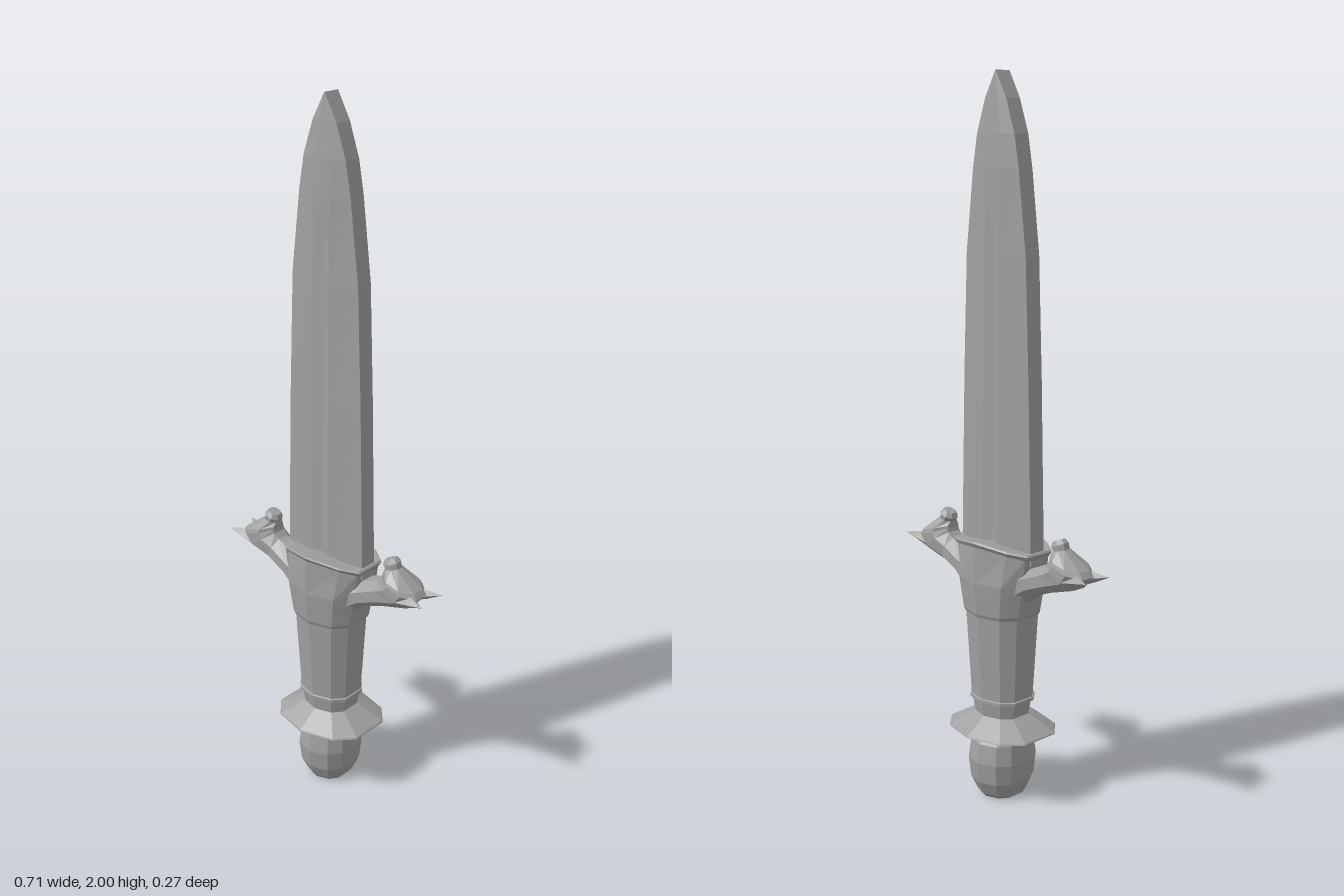
import * as THREE from 'three';

const material = new THREE.MeshStandardMaterial({ color: 0xa0a0a0, flatShading: true });

// Skins a list of closed rings (counter-clockwise seen from the end) and caps both ends
function loft(name, rings) {
  const pos = [];
  const tri = (a, b, c) => pos.push(...a, ...b, ...c);
  const n = rings[0].length;
  for (let i = 0; i < rings.length - 1; i++) {
    for (let j = 0; j < n; j++) {
      const k = (j + 1) % n;
      const [a, b, c, d] = [rings[i][j], rings[i][k], rings[i + 1][k], rings[i + 1][j]];
      tri(a, b, c);
      tri(a, c, d);
    }
  }
  const first = rings[0], last = rings[rings.length - 1];
  const middle = (r) => [0, 1, 2].map((q) => r.reduce((s, p) => s + p[q], 0) / n);
  const m0 = middle(first), m1 = middle(last);
  for (let j = 0; j < n; j++) {
    const k = (j + 1) % n;
    tri(m0, first[k], first[j]);
    tri(m1, last[j], last[k]);
  }
  const geometry = new THREE.BufferGeometry();
  geometry.setAttribute('position', new THREE.Float32BufferAttribute(pos, 3));
  geometry.computeVertexNormals();
  const mesh = new THREE.Mesh(geometry, material);
  mesh.name = name;
  return mesh;
}

// Ten-sided horizontal ring, flat at the sides and pointed at front and back:
// half width w, half depth d, depth of the shoulders, rise of the front and back points
function hiltRing([y, w, d, shoulder = 0.8, rise = 0]) {
  const half = [[1, 0.42], [0.68, shoulder], [0, 1], [-0.68, shoulder], [-1, 0.42]];
  const back = half.map(([x, z]) => [x, -z]);
  return [...back, ...half.reverse()].map(([x, z]) =>
    [x * w, y + rise * (1 - Math.abs(x)), z * d]);
}

// Double-edged blade section: blunt edges, raised shoulders, shallow centre groove
function bladeRing([y, w, shoulder, centre]) {
  const e = 0.025, g = Math.min(0.03, w * 0.4);
  return [[w, e], [w, -e], [g, -shoulder], [0, -centre], [-g, -shoulder],
    [-w, -e], [-w, e], [-g, shoulder], [0, centre], [g, shoulder]].map(([x, z]) => [x, y, z]);
}

// Guard arm section between a lower/outer point and an upper/inner point
function armRing([px, py, qx, qy, hz]) {
  return Array.from({ length: 8 }, (_, i) => {
    const t = ((i + 0.5) * Math.PI) / 4, k = 1 / Math.cos(Math.PI / 8);
    const c = (Math.cos(t) * k) / 2;
    return [(px + qx) / 2 + (qx - px) * c, (py + qy) / 2 + (qy - py) * c, hz * k * Math.sin(t)];
  });
}

function createArm(name) {
  const arm = new THREE.Group();
  arm.name = name;
  // Arm sweeping out, swelling into a head and curling back into a small tilted knob
  arm.add(loft('armAndHorn', [
    [0.08, 0.565, 0.08, 0.69, 0.062],
    [0.14, 0.618, 0.13, 0.692, 0.053],
    [0.21, 0.643, 0.185, 0.714, 0.044],
    [0.29, 0.667, 0.2, 0.728, 0.05],
    [0.322, 0.702, 0.203, 0.738, 0.05],
    [0.31, 0.718, 0.203, 0.746, 0.047],
    [0.246, 0.766, 0.204, 0.758, 0.023],
    [0.242, 0.783, 0.196, 0.766, 0.024],
    [0.232, 0.793, 0.2, 0.781, 0.016],
  ].map(armRing)));
  // Pair of pointed spikes on the outer end
  for (const s of [1, -1]) {
    const ring = (x, y, z, ry, rz) => [[0, 1], [-1, 0], [0, -1], [1, 0]]
      .map(([a, b]) => [x, y - a * ry, z - b * rz]);
    arm.add(loft('spike', [
      ring(0.27, 0.69, s * 0.026, 0.024, 0.024),
      ring(0.315, 0.698, s * 0.032, 0.014, 0.018),
      ring(0.355, 0.704, s * 0.045, 0.0005, 0.0005),
    ]));
  }
  return arm;
}

export function createModel() {
  const model = new THREE.Group();
  model.name = 'dagger';

  // Blade
  model.add(loft('blade', [
    [0.7, 0.136, 0.045, 0.039], [1.2, 0.124, 0.044, 0.039], [1.53, 0.112, 0.043, 0.039],
    [1.75, 0.086, 0.041, 0.041], [1.84, 0.07, 0.038, 0.039], [1.93, 0.039, 0.031, 0.032],
    [2, 0.0005, 0.025, 0.025],
  ].map(bladeRing)));

  // Collar under the blade, rising to a point at front and back
  model.add(loft('collar', [
    [0.715, 0.136, 0.1, 0.7, 0.02], [0.73, 0.144, 0.112, 0.7, 0.024],
    [0.735, 0.14, 0.109, 0.7, 0.024],
  ].map(hiltRing)));

  // Guard body flaring up from the grip
  model.add(loft('guardBody', [
    [0.54, 0.099, 0.096], [0.55, 0.105, 0.1], [0.59, 0.112, 0.104],
    [0.64, 0.122, 0.108], [0.722, 0.135, 0.106, 0.72, 0.02],
  ].map(hiltRing)));

  // Grip with a raised band near its foot
  model.add(loft('grip', [
    [0.23, 0.072, 0.07], [0.285, 0.08, 0.078], [0.287, 0.088, 0.085],
    [0.296, 0.088, 0.085], [0.298, 0.084, 0.081], [0.545, 0.098, 0.095],
  ].map(hiltRing)));

  // Disc between grip and pommel
  model.add(loft('disc', [
    [0.195, 0.06, 0.06], [0.198, 0.15, 0.137], [0.202, 0.148, 0.135], [0.245, 0.076, 0.073],
  ].map(hiltRing)));

  // Pommel
  model.add(loft('pommel', [
    [0, 0.054, 0.064], [0.012, 0.06, 0.074], [0.05, 0.075, 0.093], [0.11, 0.081, 0.1],
    [0.165, 0.076, 0.09], [0.176, 0.072, 0.082], [0.182, 0.06, 0.06], [0.205, 0.06, 0.06],
  ].map(hiltRing)));

  // Guard arms
  const left = createArm('leftGuardArm');
  const right = createArm('rightGuardArm');
  right.rotation.y = Math.PI;
  model.add(left, right);

  return model;
}
